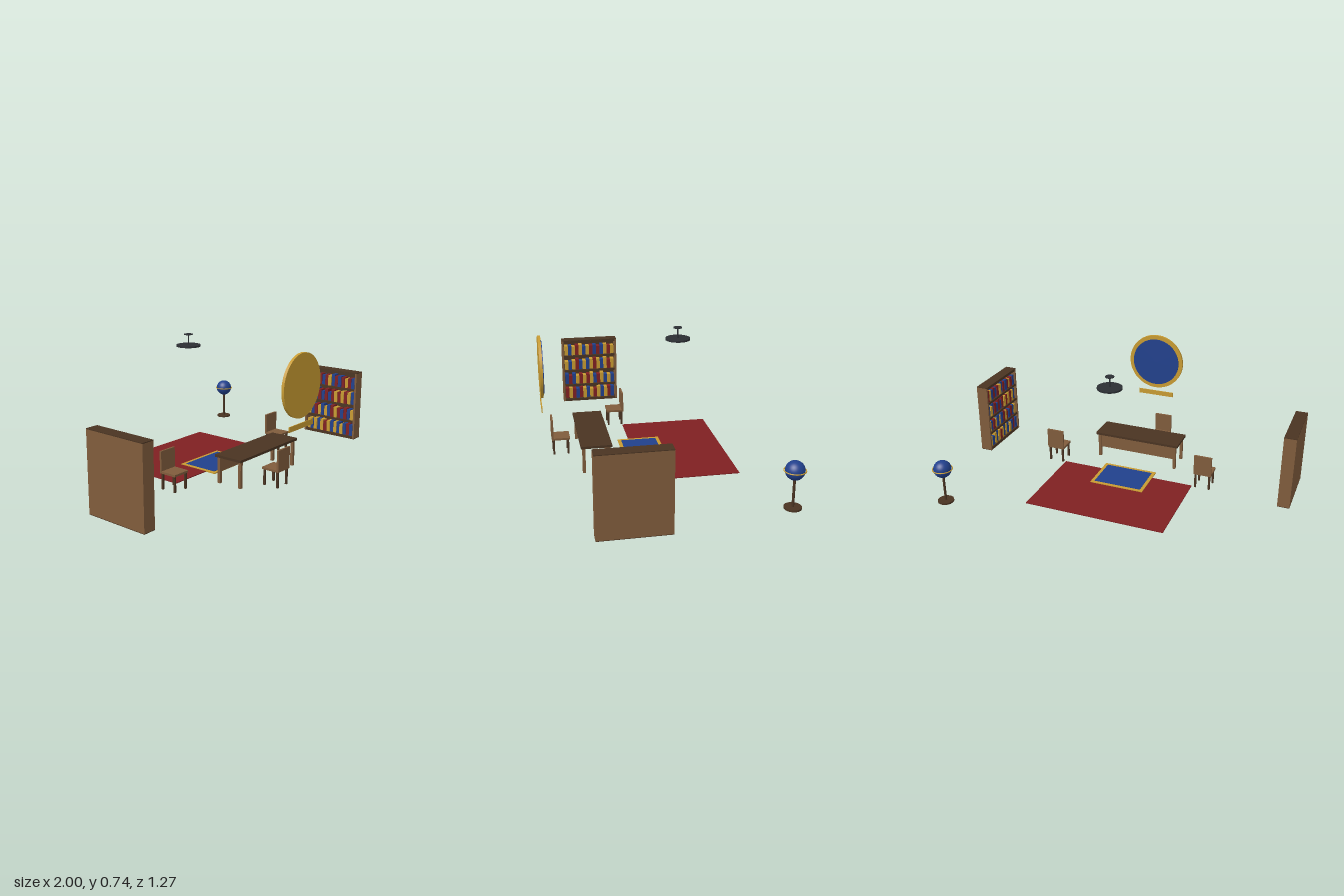
import * as THREE from 'three';

const mat = (name, color) => {
  const m = new THREE.MeshStandardMaterial({ color });
  m.name = name;
  return m;
};
const wood = mat('wood', 0x805c3c);
const darkWood = mat('dark wood', 0x4a3422);
const gold = mat('gold', 0xc89b32);
const red = mat('red', 0x7f2022);
const blue = mat('blue', 0x21408c);
const iron = mat('iron', 0x2b2e33);

function add(parent, name, geometry, material, x = 0, y = 0, z = 0) {
  const mesh = new THREE.Mesh(geometry, material);
  mesh.name = name;
  mesh.position.set(x, y, z);
  parent.add(mesh);
  return mesh;
}

// Box given by its lower and upper limits on each axis
function box(parent, name, material, [x0, x1], [y0, y1], [z0, z1]) {
  return add(parent, name, new THREE.BoxGeometry(x1 - x0, y1 - y0, z1 - z0), material,
    (x0 + x1) / 2, (y0 + y1) / 2, (z0 + z1) / 2);
}

// Upright cylinder given by its radius and height limits
function post(parent, name, material, r, y0, y1, segments = 32) {
  return add(parent, name, new THREE.CylinderGeometry(r, r, y1 - y0, segments), material, 0, (y0 + y1) / 2, 0);
}

function group(parent, name, x = 0, y = 0, z = 0) {
  const g = new THREE.Group();
  g.name = name;
  g.position.set(x, y, z);
  parent.add(g);
  return g;
}

// Chair whose seat opens towards +z
function chair(parent, name, x, z, turn) {
  const g = group(parent, name, x, 0, z);
  g.rotation.y = turn;
  box(g, 'seat', wood, [-0.053, 0.053], [0.09, 0.102], [-0.053, 0.053]);
  box(g, 'backrest', wood, [-0.053, 0.053], [0.102, 0.213], [-0.053, -0.042]);
  for (const sx of [-1, 1]) for (const sz of [-1, 1]) {
    add(g, 'chairLeg', new THREE.BoxGeometry(0.011, 0.09, 0.011), darkWood, sx * 0.042, 0.045, sz * 0.042);
  }
}

// Bookcase whose open side faces +x, from x = 0 (back) to x = 0.07
function bookcase(parent, name, x, turn, seed) {
  const g = group(parent, name, x, 0, 0.256);
  g.rotation.y = turn;
  const random = () => (seed = (seed * 16807) % 2147483647) / 2147483647;
  const half = 0.187, height = 0.438, wall = 0.012, pitch = 0.104;
  box(g, 'backPanel', wood, [0, 0.008], [0.003, height - 0.004], [-half, half]);
  box(g, 'backLining', darkWood, [0.008, 0.01], [0.01, height - 0.01], [-half + wall, half - wall]);
  for (const s of [-1, 1]) {
    const side = half - wall / 2;
    add(g, 'sidePanel', new THREE.BoxGeometry(0.062, height - 0.007, wall), wood, 0.039, height / 2 - 0.0005, s * side);
  }
  box(g, 'topCap', darkWood, [0, 0.07], [height - 0.004, height], [-half, half]);
  box(g, 'baseCap', darkWood, [0, 0.07], [0, 0.003], [-half, half]);
  for (let i = 0; i < 5; i++) {
    const y = 0.003 + i * pitch;
    box(g, 'shelf', darkWood, [0.01, 0.068], [y, y + 0.014], [-half + wall, half - wall]);
  }
  // Four rows of books of varying height and depth
  const covers = [red, blue, gold];
  const count = 14, step = (2 * (half - wall) - 0.01) / count;
  for (let row = 0; row < 4; row++) {
    const y = 0.017 + row * pitch;
    let last = 0;
    for (let i = 0; i < count; i++) {
      last = (last + 1 + Math.floor(random() * 2)) % 3;
      const z = -half + wall + 0.005 + i * step;
      box(g, 'book', covers[last], [0.012, 0.055 + random() * 0.008],
        [y, y + 0.058 + random() * 0.02], [z + 0.001, z + step - 0.001]);
    }
  }
}

export function createModel() {
  const model = new THREE.Group();
  model.name = 'study';

  // Floor coverings
  box(model, 'carpet', red, [-0.413, 0.413], [0, 0.005], [-0.427, 0.107]);
  box(model, 'rugBorder', gold, [-0.165, 0.165], [0.002, 0.008], [-0.078, 0.174]);
  box(model, 'rugField', blue, [-0.145, 0.145], [0.008, 0.0095], [-0.058, 0.154]);

  // Desk
  const desk = group(model, 'desk', 0, 0, 0.349);
  box(desk, 'deskTop', darkWood, [-0.269, 0.269], [0.15, 0.164], [-0.087, 0.087]);
  box(desk, 'deskPanel', wood, [-0.244, 0.244], [0.065, 0.15], [-0.075, -0.065]);
  for (const sx of [-1, 1]) for (const sz of [-1, 1]) {
    add(desk, 'deskLeg', new THREE.BoxGeometry(0.017, 0.15, 0.017), wood, sx * 0.248, 0.075, sz * 0.07);
  }

  // Chairs
  chair(model, 'leftChair', 0.476, 0.151, 0);
  chair(model, 'rightChair', -0.476, 0.151, 0);
  chair(model, 'deskChair', -0.075, 0.526, Math.PI);

  // Bookcases facing each other
  bookcase(model, 'rightBookcase', -1, 0, 17);
  bookcase(model, 'leftBookcase', 1, Math.PI, 91);

  // Round wall plaque, face towards -z, with a name bar below
  const plaque = group(model, 'wallPlaque', 0, 0.551, 0.626);
  const disc = (r, t) => new THREE.CylinderGeometry(r, r, t, 64).rotateX(Math.PI / 2);
  add(plaque, 'plaqueFrame', disc(0.175, 0.016), gold);
  add(plaque, 'plaqueFace', disc(0.15, 0.005), blue, 0, 0, -0.0105);
  box(model, 'plaqueBar', gold, [-0.115, 0.115], [0.318, 0.348], [0.628, 0.633]);

  // Hanging lamp
  const lamp = group(model, 'ceilingLamp', 0, 0, -0.159);
  post(lamp, 'lampDisc', iron, 0.071, 0.671, 0.681, 48);
  post(lamp, 'lampStem', iron, 0.0035, 0.681, 0.739, 16);
  post(lamp, 'lampMount', iron, 0.025, 0.739, 0.744);

  // Globe on a stand
  const globe = group(model, 'globe', 0.853, 0, -0.573);
  post(globe, 'globeBase', darkWood, 0.046, 0, 0.01);
  post(globe, 'globeStem', darkWood, 0.007, 0.01, 0.165, 16);
  add(globe, 'globeBall', new THREE.SphereGeometry(0.051, 40, 28), blue, 0, 0.21, 0);
  add(globe, 'globeRing', new THREE.TorusGeometry(0.0555, 0.003, 10, 48).rotateX(Math.PI / 2), gold, 0, 0.21, 0);

  return model;
}
